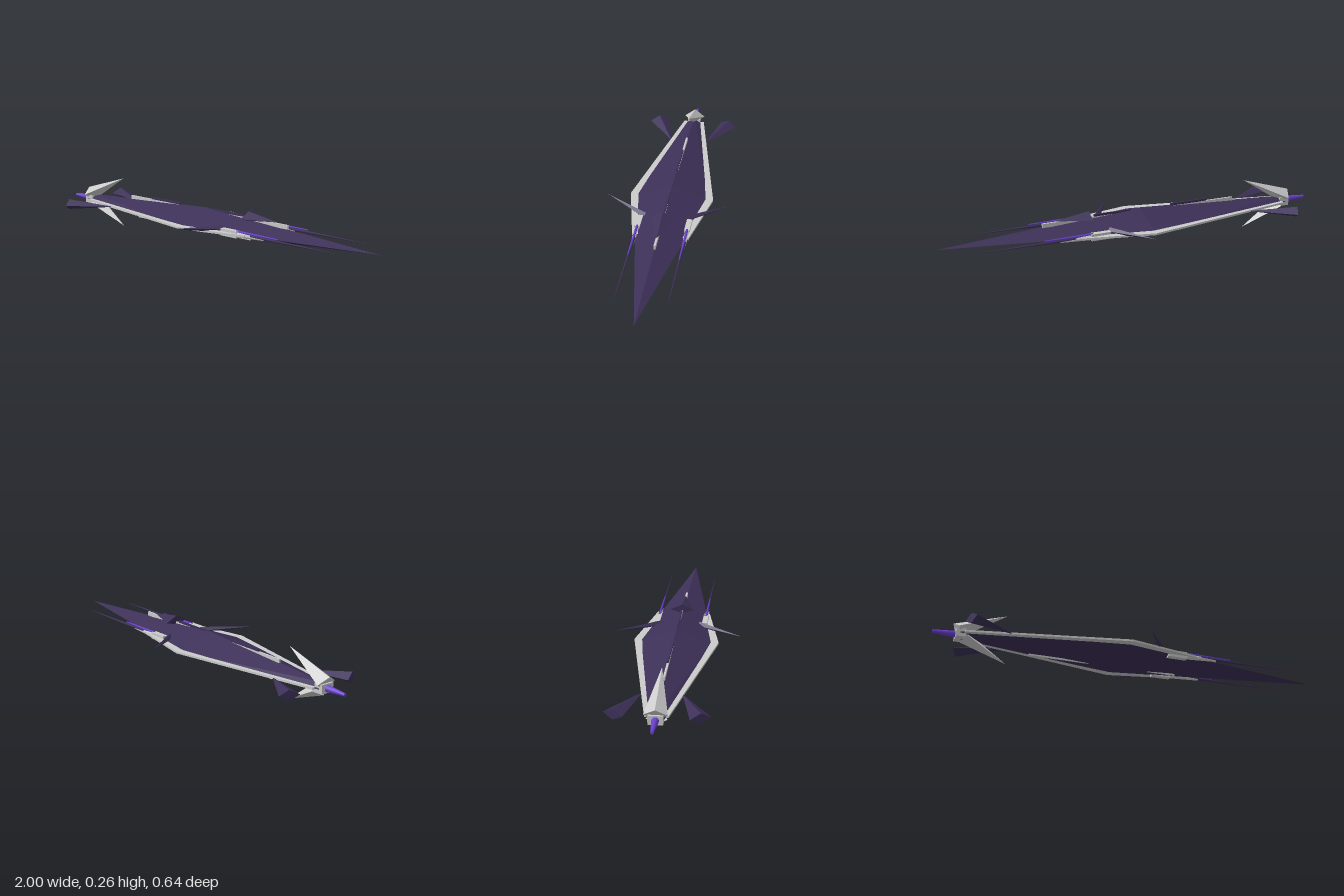
import * as THREE from 'three';
import { ConvexGeometry } from 'three/addons/geometries/ConvexGeometry.js';

const CY = 0.122; // height of the ship's axis
const grey = new THREE.MeshStandardMaterial({ color: 0xcccccc });
const dark = new THREE.MeshStandardMaterial({ color: 0x3d3058 });
const purple = new THREE.MeshStandardMaterial({ color: 0x6a3fd0 });

export function createModel() {
  const ship = new THREE.Group();
  ship.name = 'spaceship';

  const add = (name, geometry, material) => {
    const mesh = new THREE.Mesh(geometry, material);
    mesh.name = name;
    ship.add(mesh);
    return mesh;
  };
  // faceted solid through a few corner points
  const solid = (name, points, material) =>
    add(name, new ConvexGeometry(points.map(p => new THREE.Vector3(...p))), material);
  // box given by its limits
  const box = (name, x0, x1, y0, y1, z, width, material) =>
    add(name, new THREE.BoxGeometry(x1 - x0, y1 - y0, width), material)
      .position.set((x0 + x1) / 2, (y0 + y1) / 2, z);
  // tapered rod along x, from its aft end to its forward end
  const rod = (name, x0, x1, r0, r1, y, z, sides, material) => {
    const mesh = add(name, new THREE.CylinderGeometry(r1, r0, x1 - x0, sides), material);
    mesh.rotation.z = -Math.PI / 2;
    mesh.position.set((x0 + x1) / 2, y, z);
  };
  const diamond = (x, y, h, w) => [[x, y + h, 0], [x, y - h, 0], [x, y, w], [x, y, -w]];

  // main hull: long diamond section spindle
  solid('hull', [[1, CY, 0], ...diamond(-0.05, CY, 0.067, 0.187), ...diamond(-0.87, CY, 0.022, 0.04)], dark);

  // thin plate that shows as a trim along both edges
  const rim = [];
  for (const s of [-1, 1]) for (const t of [-0.005, 0.005])
    rim.push([-0.85, CY + t, s * 0.055], [-0.05, CY + t, s * 0.212], [0.31, CY + t, s * 0.138]);
  solid('edgeTrim', rim, grey);

  // spines along the top and the belly
  box('dorsalSpine', -0.57, 0.47, 0.157, 0.178, 0, 0.01, grey);
  box('dorsalSpineRearCap', -0.42, -0.22, 0.172, 0.189, 0, 0.008, dark);
  box('dorsalSpineFrontCap', 0, 0.2, 0.172, 0.189, 0, 0.008, dark);
  box('bellySpine', -0.52, 0.24, 0.065, 0.073, 0, 0.008, grey);

  // canopy wedge
  solid('canopy', [[0.41, 0.182, 0], [0.225, 0.21, 0], [0.225, 0.162, 0],
    [0.225, 0.18, 0.062], [0.225, 0.18, -0.062]], dark);

  // forward-swept tail fins
  solid('upperTailFin', [[-0.635, 0.26, 0], [-0.9, 0.178, 0], [-0.86, 0.112, 0],
    [-0.88, 0.145, 0.055], [-0.88, 0.145, -0.055]], grey);
  solid('lowerTailFin', [[-0.635, 0, 0], [-0.865, 0.082, 0], [-0.81, 0.13, 0],
    [-0.84, 0.105, 0.05], [-0.84, 0.105, -0.05]], grey);

  // engine
  box('engineCollar', -0.89, -0.84, 0.1, 0.145, 0, 0.07, grey);
  rod('engineFlame', -1, -0.87, 0.008, 0.019, CY, 0, 12, purple);

  for (const s of [-1, 1]) {
    const side = s > 0 ? 'right' : 'left';
    // tail flares, pointed end against the hull
    solid(side + 'TailFlare', [[-0.62, CY, s * 0.09], [-0.87, CY, s * 0.15], [-0.83, CY, s * 0.242],
      [-0.85, CY + 0.027, s * 0.197], [-0.85, CY - 0.027, s * 0.197]], dark);
    // swept-back spike wings
    solid(side + 'Wing', [[0, 0.143, s * 0.322], [0.168, 0.132, s * 0.105], [0.135, 0.132, s * 0.09],
      [0.152, 0.148, s * 0.097], [0.152, 0.112, s * 0.097]], dark);
    // long gun: housing, sleeve and two needles
    const z = s * 0.123;
    box(side + 'GunHousing', 0.16, 0.26, 0.104, 0.139, z, 0.027, grey);
    rod(side + 'GunSleeve', 0.25, 0.42, 0.015, 0.006, 0.121, z, 6, grey);
    rod(side + 'GunBarrel', 0.31, 0.83, 0.009, 0.001, 0.124, z, 6, dark);
    rod(side + 'GunCharge', 0.25, 0.5, 0.007, 0.003, 0.135, z, 6, purple);
  }
  return ship;
}
